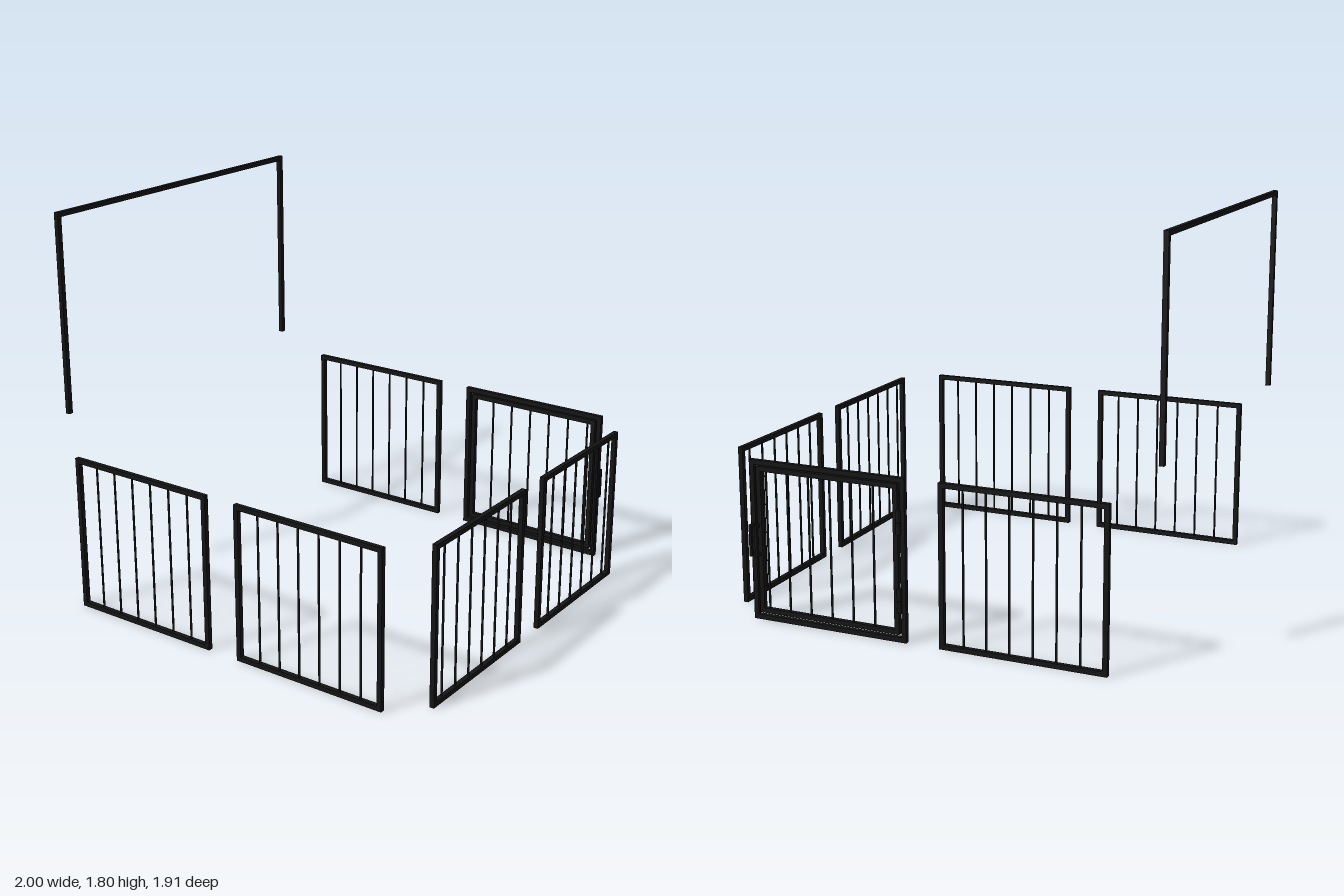
import * as THREE from 'three';

const dark = new THREE.MeshStandardMaterial({ color: 0x141414 });
const T = 0.022; // frame tube thickness
const H = 0.73; // panel height
const STEP = 0.105; // bar spacing

function box(parent, name, w, h, d, x, y, z) {
  const m = new THREE.Mesh(new THREE.BoxGeometry(w, h, d), dark);
  m.name = name;
  m.position.set(x, y, z);
  parent.add(m);
}

function rod(parent, name, r, length, x, y, z) {
  const m = new THREE.Mesh(new THREE.CylinderGeometry(r, r, length, 12), dark);
  m.name = name;
  m.position.set(x, y, z);
  parent.add(m);
}

// Rectangular frame in the xy plane, from outer corner (x0, y0) to (x1, y1)
function frame(parent, x0, x1, y0, y1) {
  const cx = (x0 + x1) / 2, cy = (y0 + y1) / 2;
  for (const y of [y0 + T / 2, y1 - T / 2]) box(parent, 'frameRail', x1 - x0, T, T, cx, y, 0);
  for (const x of [x0 + T / 2, x1 - T / 2]) box(parent, 'framePost', T, y1 - y0 - 2 * T, T, x, cy, 0);
}

// Six evenly spaced round bars
function bars(parent, first, y0, y1) {
  for (let i = 0; i < 6; i++)
    rod(parent, 'bar', 0.005, y1 - y0 - T, first + i * STEP, (y0 + y1) / 2, 0);
}

// Fence panel starting at local x = 0
function panel(name, width, firstBar) {
  const g = new THREE.Group();
  g.name = name;
  frame(g, 0, width, 0, H);
  bars(g, firstBar, 0, H);
  return g;
}

// Outer frame with a hinged gate inside it
function gatePanel() {
  const g = new THREE.Group();
  g.name = 'gatePanel';
  frame(g, 0, 0.755, 0, H);

  const gate = new THREE.Group();
  gate.name = 'gate';
  frame(gate, 0.034, 0.724, 0.033, 0.702);
  bars(gate, 0.154, 0.033, 0.702);
  g.add(gate);

  // hinges: two stacked knuckles over the gap
  for (const y of [0.538, 0.191])
    for (const s of [-1, 1]) rod(g, 'hingeKnuckle', 0.011, 0.052, 0.026, y + s * 0.0275, -0.018);

  // U-shaped handles on the gate and on the fixed post
  for (const x of [0.716, 0.744]) {
    const handle = new THREE.Group();
    handle.name = 'handle';
    for (const y of [0.304, 0.436]) box(handle, 'handleArm', 0.012, 0.012, 0.04, x, y, -0.02);
    box(handle, 'handleGrip', 0.012, 0.144, 0.012, x, 0.37, -0.036);
    g.add(handle);
  }
  return g;
}

export function createModel() {
  const root = new THREE.Group();
  root.name = 'fenceEnclosure';

  const place = (g, x, z, turn = 0) => {
    g.position.set(x, 0, z);
    g.rotation.y = turn;
    root.add(g);
  };

  // front and back
  place(panel('frontPanelRight', 0.755, 0.121), -0.824, 0.941);
  place(panel('frontPanelLeft', 0.755, 0.121), 0.087, 0.941);
  place(panel('backPanelRight', 0.755, 0.121), -0.824, -0.912);
  place(gatePanel(), 0.087, -0.912);

  // side panels, mirrored front to back
  place(panel('sidePanelFront', 0.706, 0.074), 0.989, 0.801, Math.PI / 2);
  place(panel('sidePanelBack', 0.706, 0.074), 0.989, -0.767, -Math.PI / 2);

  // raised open arch
  const arch = new THREE.Group();
  arch.name = 'arch';
  box(arch, 'archTop', T, T, 1.607, -0.989, 1.793, 0.0175);
  for (const z of [0.81, -0.775]) box(arch, 'archPost', T, 0.914, T, -0.989, 1.325, z);
  root.add(arch);

  return root;
}
